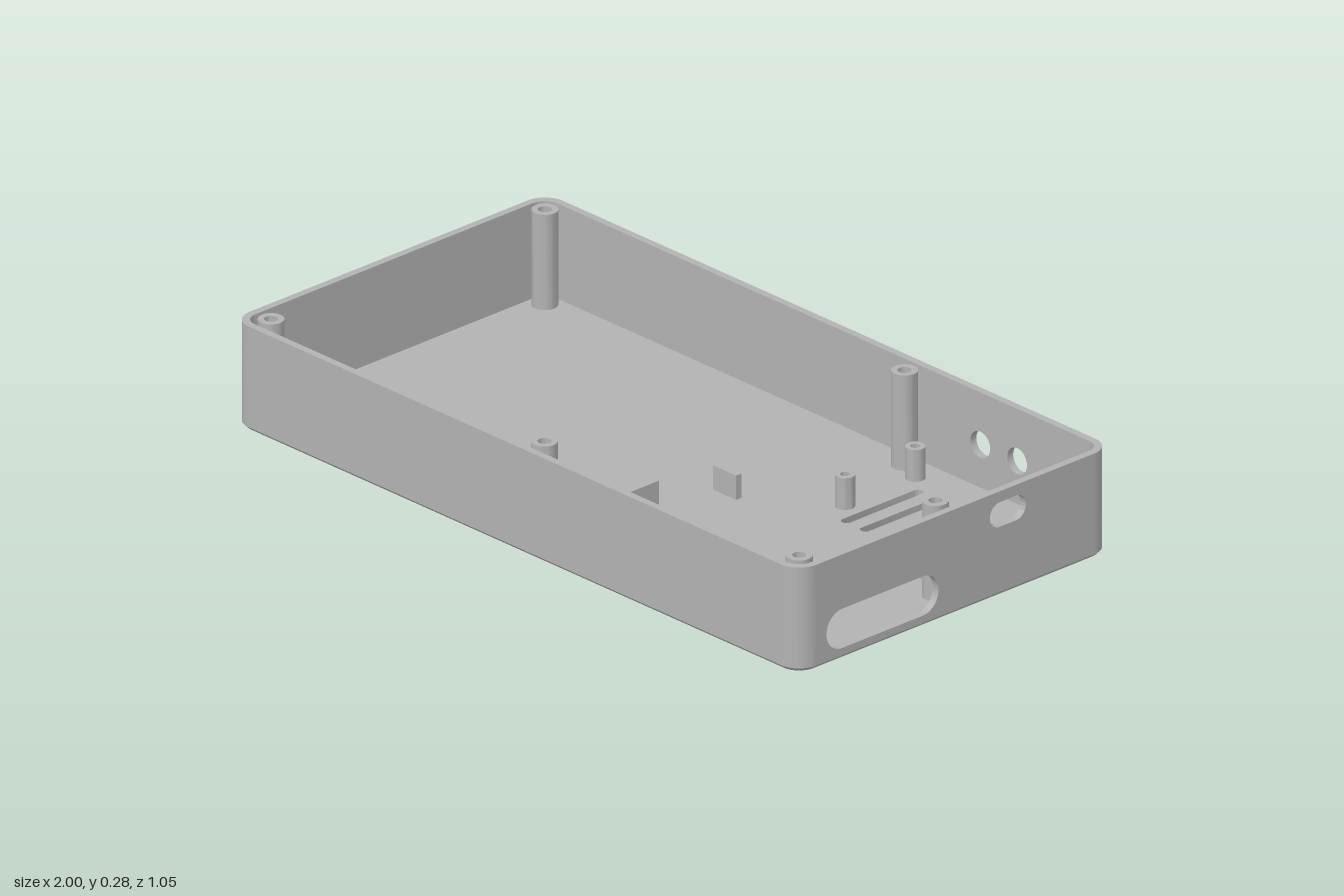
import * as THREE from 'three';
import { toCreasedNormals } from 'three/addons/utils/BufferGeometryUtils.js';

const HX = 1, HZ = 0.525, TOP = 0.28, R = 0.06, WALL = 0.02, FLOOR = 0.025, CH = 0.01;

// Rounded rectangle centred on (x, y)
function roundRect(Target, x, y, hw, hh, r) {
  const s = new Target();
  s.absarc(x + hw - r, y + hh - r, r, 0, Math.PI / 2);
  s.absarc(x - hw + r, y + hh - r, r, Math.PI / 2, Math.PI);
  s.absarc(x - hw + r, y - hh + r, r, Math.PI, Math.PI * 1.5);
  s.absarc(x + hw - r, y - hh + r, r, Math.PI * 1.5, Math.PI * 2);
  s.closePath();
  return s;
}

function circle(Target, x, y, r) {
  return new Target().absarc(x, y, r, 0, Math.PI * 2);
}

function rect(x0, y0, x1, y1) {
  return new THREE.Shape([[x0, y0], [x1, y0], [x1, y1], [x0, y1]].map(p => new THREE.Vector2(...p)));
}

function extrude(shape, depth) {
  const g = new THREE.ExtrudeGeometry(shape, { depth, bevelEnabled: false, curveSegments: 12 });
  return toCreasedNormals(g, 0.6);
}

// Plan shape (drawn in x, -z) raised from y0 to y1
function slab(shape, y0, y1) {
  return extrude(shape, y1 - y0).rotateX(-Math.PI / 2).translate(0, y0, 0);
}

// Band joining two plan outlines with equal point counts
function band(a, ya, b, yb) {
  const A = a.getPoints(12), B = b.getPoints(12), pos = [], idx = [];
  A.forEach((p, i) => pos.push(p.x, ya, -p.y, B[i].x, yb, -B[i].y));
  for (let i = 0; i < A.length; i++) {
    const j = (i + 1) % A.length;
    idx.push(2 * i, 2 * j, 2 * j + 1, 2 * i, 2 * j + 1, 2 * i + 1);
  }
  const g = new THREE.BufferGeometry();
  g.setAttribute('position', new THREE.Float32BufferAttribute(pos, 3));
  g.setIndex(idx);
  return toCreasedNormals(g, 0.6);
}

export function createModel() {
  const model = new THREE.Group();
  model.name = 'enclosureBase';
  const grey = new THREE.MeshStandardMaterial({ color: 0xb2b2b2 });
  grey.name = 'grey plastic';
  const add = (name, geometry) => {
    const m = new THREE.Mesh(geometry, grey);
    m.name = name;
    model.add(m);
  };

  // Floor in two layers: foot recesses in the lower, vents through both
  const lower = roundRect(THREE.Shape, 0, 0, HX - CH, HZ - CH, R - CH);
  const upper = roundRect(THREE.Shape, 0, 0, HX, HZ, R);
  add('bottomChamfer', band(lower, 0, upper, CH));
  const floor = roundRect(THREE.Shape, 0, 0, HX - 0.005, HZ - 0.005, R - 0.005);
  for (let i = 0; i < 5; i++) {
    for (const s of [lower, floor]) {
      s.holes.push(roundRect(THREE.Path, 0.47 + i * 0.0675, 0.258, 0.0135, 0.133, 0.013));
    }
  }
  for (const sx of [-1, 1]) {
    for (const sz of [-1, 1]) lower.holes.push(circle(THREE.Path, sx * 0.89, sz * 0.413, 0.054));
  }
  add('bottomPlate', slab(lower, 0, CH));
  add('floor', slab(floor, CH, FLOOR));

  // Straight walls
  const long = () => rect(-HX + R, CH, HX - R, TOP);
  const short = () => rect(-HZ + R, CH, HZ - R, TOP);
  add('frontWall', extrude(long(), WALL).translate(0, 0, HZ - WALL));

  const back = long();
  for (const x of [0.555, 0.685]) back.holes.push(circle(THREE.Path, x, 0.14, 0.035));
  add('backWall', extrude(back, WALL).translate(0, 0, -HZ));

  // Side wall with connector openings (drawn in -z, y)
  const side = short();
  side.holes.push(roundRect(THREE.Path, -0.243, 0.082, 0.187, 0.0525, 0.052));
  side.holes.push(roundRect(THREE.Path, 0.176, 0.218, 0.06, 0.033, 0.0325));
  add('leftWall', extrude(side, WALL).rotateY(Math.PI / 2).translate(HX - WALL, 0, 0));
  add('rightWall', extrude(short(), WALL).rotateY(Math.PI / 2).translate(-HX, 0, 0));

  // Rounded wall corners
  [[1, 1], [-1, 1], [-1, -1], [1, -1]].forEach(([sx, sy], i) => {
    const a = i * Math.PI / 2, b = a + Math.PI / 2;
    const cx = sx * (HX - R), cy = sy * (HZ - R);
    const s = new THREE.Shape();
    s.absarc(cx, cy, R, a, b, false);
    s.absarc(cx, cy, R - WALL, b, a, true);
    s.closePath();
    add('wallCorner', slab(s, CH, TOP));
  });

  // Hollow screw posts
  const post = (name, x, z, r, hole, top) => {
    const s = circle(THREE.Shape, x, -z, r);
    s.holes.push(circle(THREE.Path, x, -z, hole));
    add(name, slab(s, FLOOR - 0.002, top));
  };
  for (const [x, z] of [[-0.935, -0.46], [0.335, -0.46], [0.93, 0], [0.93, 0.455], [0.03, 0.455], [-0.935, 0.455]]) {
    post('lidPost', x, z, 0.033, 0.017, TOP);
  }
  for (const [x, z] of [[0.405, -0.43], [0.405, -0.195], [0.85, -0.475], [0.84, -0.065]]) {
    post('boardPost', x, z, 0.025, 0.012, 0.11);
  }

  // Locating ribs on the floor
  for (const [x, z, w, d] of [[0.158, -0.035, 0.082, 0.018], [0.768, -0.035, 0.082, 0.018], [0.082, 0.256, 0.018, 0.254]]) {
    add('rib', new THREE.BoxGeometry(w, 0.07, d).translate(x, 0.055, z));
  }
  return model;
}
